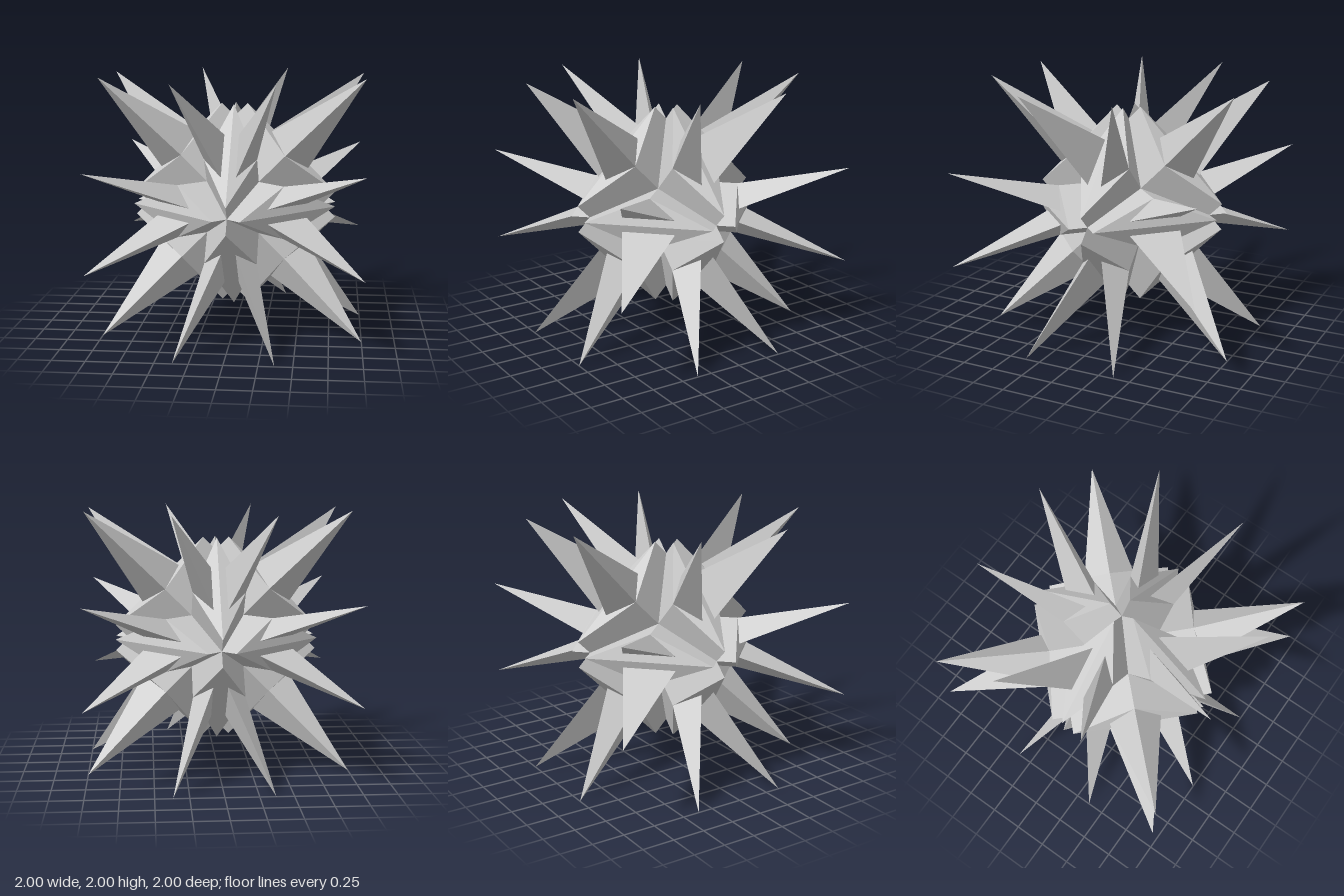
import * as THREE from 'three';

const material = new THREE.MeshStandardMaterial({ color: 0xcccccc, flatShading: true });

// Corners of one half ridge block and its spike; the rest follows by symmetry
const pts = {
  end1: [0, 0.1, 0.785], end2: [0, 0.785, 0.1],   // ends of the ridge
  pole1: [0, 0, 0.685], pole2: [0, 0.685, 0],     // dents on the axes
  corner: [0.2, 0.4, 0.4],                        // side corner of the roof
  pit: [0.2, 0.2, 0.2],                           // where three channels meet
  tip: [0.369, 1, 1],
  base1: [0.055, 0.29, 0.572], base2: [0.055, 0.572, 0.29],
};

const blockFaces = [
  ['end1', 'corner', 'end2'],              // roof slope
  ['end1', 'pole1', 'pit', 'corner'],      // channel walls
  ['end2', 'corner', 'pit', 'pole2'],
];
const spikeFaces = [
  ['tip', 'base2', 'base1'],
  ['corner', 'tip', 'base1'],
  ['corner', 'base2', 'tip'],
];

// Builds faces after turning the axes by `turn` and mirroring by `signs`
function buildPart(name, faces, turn, signs) {
  const flip = signs[0] * signs[1] * signs[2] < 0;
  const pos = [];
  const place = (key) => [0, 1, 2].map((i) => pts[key][(i + turn) % 3] * signs[i]);
  for (const face of faces) {
    for (let i = 1; i < face.length - 1; i++) {
      const tri = [face[0], face[i], face[i + 1]];
      if (flip) tri.reverse();
      tri.forEach((key) => pos.push(...place(key)));
    }
  }
  const geo = new THREE.BufferGeometry();
  geo.setAttribute('position', new THREE.Float32BufferAttribute(pos, 3));
  geo.computeVertexNormals();
  const mesh = new THREE.Mesh(geo, material);
  mesh.name = name;
  return mesh;
}

export function createModel() {
  const model = new THREE.Group();
  model.name = 'spikedStar';
  const body = new THREE.Group();
  body.name = 'body';
  const spikes = new THREE.Group();
  spikes.name = 'spikes';

  // Three axis turns times eight mirrorings give 24 half blocks and 24 spikes
  for (let turn = 0; turn < 3; turn++) {
    for (const sx of [1, -1]) for (const sy of [1, -1]) for (const sz of [1, -1]) {
      body.add(buildPart('halfBlock', blockFaces, turn, [sx, sy, sz]));
      spikes.add(buildPart('spike', spikeFaces, turn, [sx, sy, sz]));
    }
  }
  model.add(body, spikes);
  body.position.y = spikes.position.y = 1;
  return model;
}
